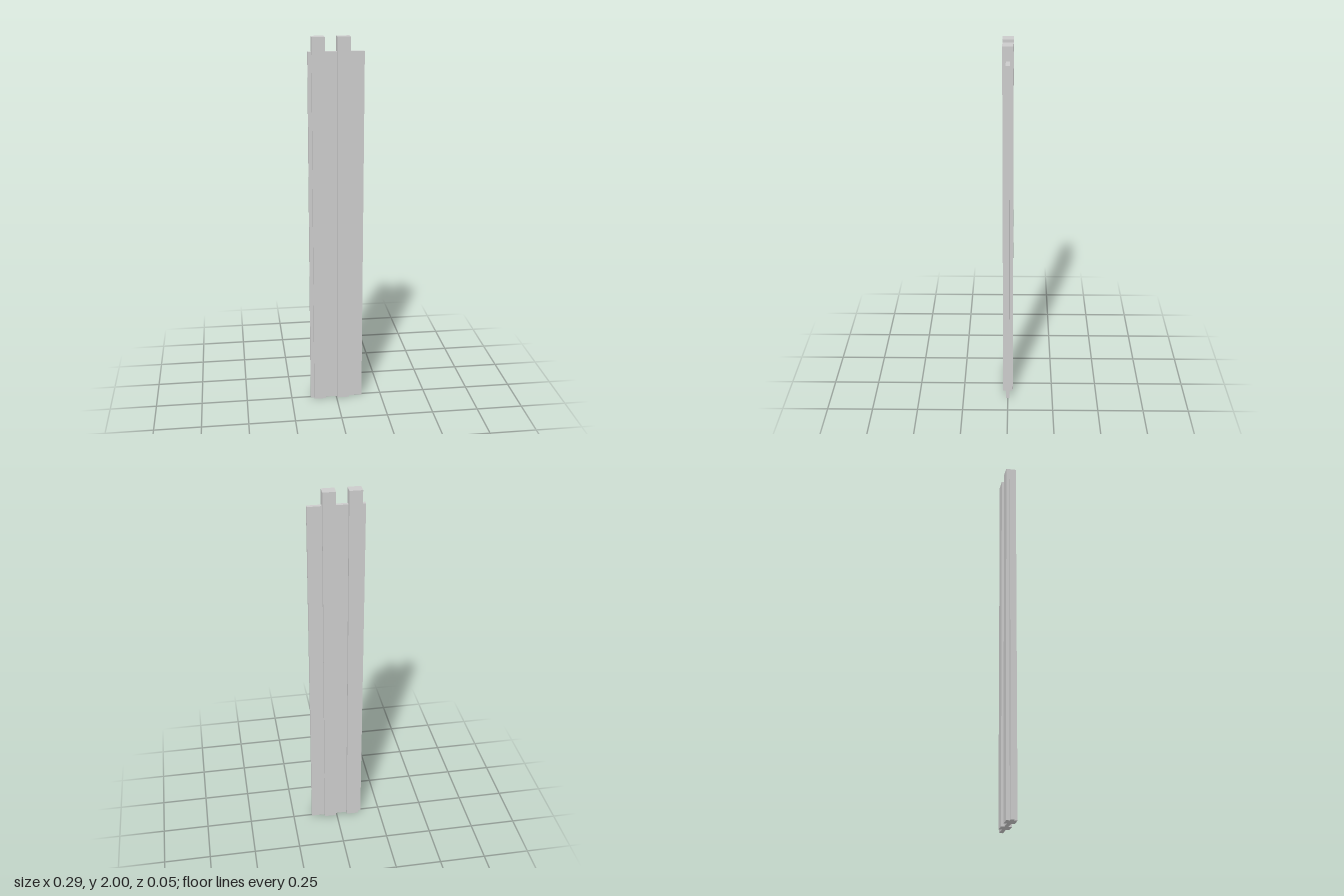
import * as THREE from 'three';

const material = new THREE.MeshStandardMaterial({ color: 0xcccccc, flatShading: true });

// Box standing on the ground, centred on z = 0
function standingBox(name, width, height, depth, x) {
  const mesh = new THREE.Mesh(new THREE.BoxGeometry(width, height, depth), material);
  mesh.name = name;
  mesh.position.set(x, height / 2, 0);
  return mesh;
}

export function createModel() {
  const group = new THREE.Group();
  group.name = 'postedPanel';

  // Thin board running the full width
  group.add(standingBox('panel', 0.287, 1.926, 0.02, 0));

  // Two thicker, taller posts, set off-centre along the board
  [['rightPost', -0.092], ['leftPost', 0.037]].forEach(([name, x]) => {
    group.add(standingBox(name, 0.066, 2, 0.055, x));
  });

  return group;
}
